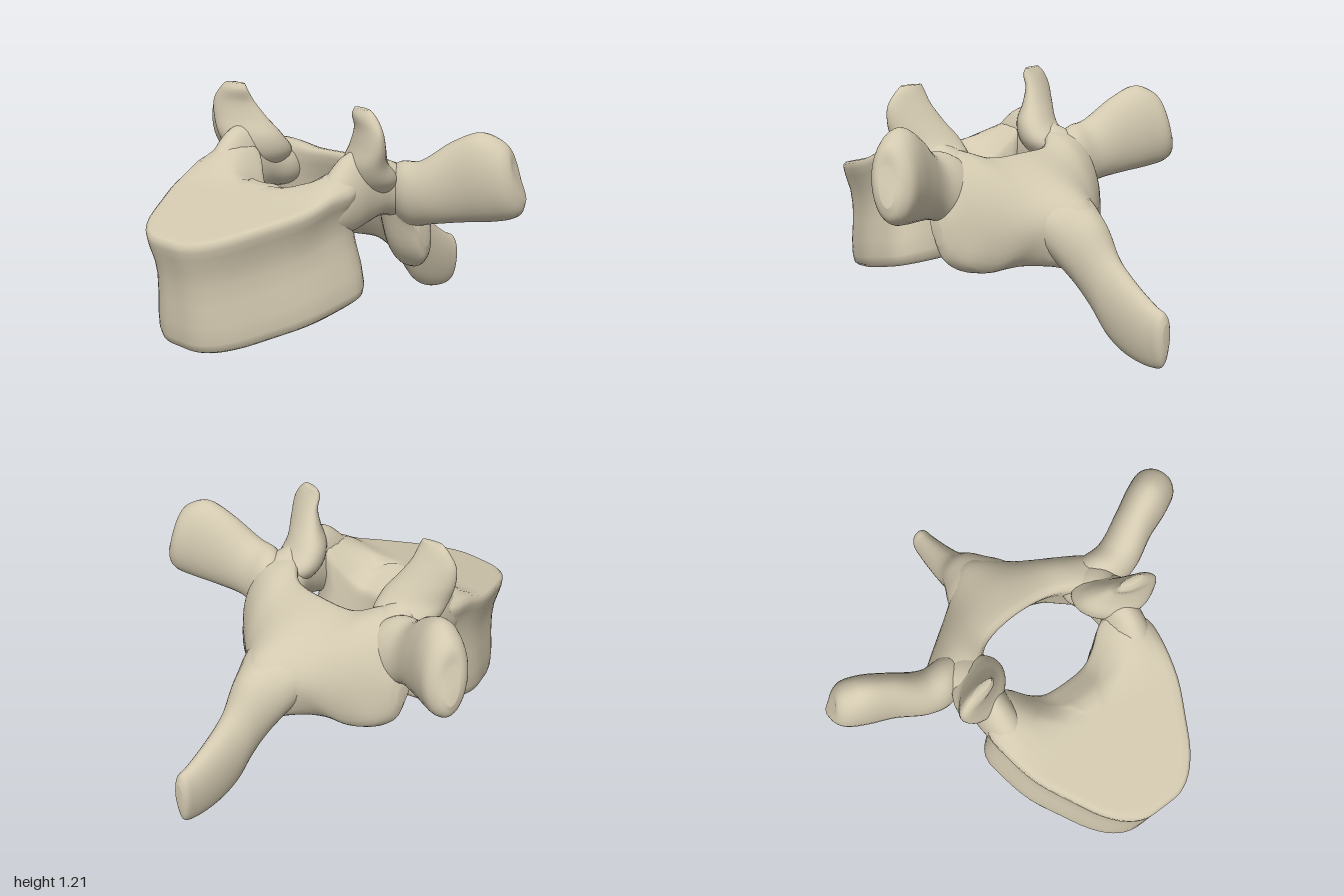
import * as THREE from 'three';

const bone = new THREE.MeshStandardMaterial({ color: 0xd3c9b0 });
bone.name = 'bone';

const V = (x, y, z) => new THREE.Vector3(x, y, z);

// Closed skin over rings of equal length; the end rings are capped and faces turned outward.
function skin(rings) {
  const n = rings[0].length;
  const pts = rings.flat();
  const idx = [];
  for (let i = 0; i < rings.length - 1; i++) {
    for (let j = 0; j < n; j++) {
      const a = i * n + j, b = i * n + (j + 1) % n;
      idx.push(a, b, b + n, a, b + n, a + n);
    }
  }
  [0, rings.length - 1].forEach((r) => {
    const mid = rings[r].reduce((s, p) => s.add(p), V(0, 0, 0)).divideScalar(n);
    pts.push(mid);
    for (let j = 0; j < n; j++) {
      const a = r * n + j, b = r * n + (j + 1) % n;
      idx.push(pts.length - 1, ...(r ? [a, b] : [b, a]));
    }
  });
  let volume = 0;
  for (let k = 0; k < idx.length; k += 3) {
    volume += pts[idx[k]].dot(V(0, 0, 0).crossVectors(pts[idx[k + 1]], pts[idx[k + 2]]));
  }
  if (volume < 0) idx.reverse();
  const g = new THREE.BufferGeometry().setFromPoints(pts);
  g.setIndex(idx);
  g.computeVertexNormals();
  return g;
}

// Smooth loft: splines around each section, then splines from section to section.
function loft(sections, around = 32, steps = 5) {
  const rings = sections.map((s) => new THREE.CatmullRomCurve3(s, true).getPoints(around).slice(0, around));
  const count = (rings.length - 1) * steps;
  const columns = rings[0].map((_, j) =>
    new THREE.CatmullRomCurve3(rings.map((r) => r[j])).getPoints(count));
  return skin(Array.from({ length: count + 1 }, (_, i) => columns.map((c) => c[i])));
}

// Oval section: centre c, half axes u and v; taper narrows it towards -u.
function oval(c, u, v, taper = 0) {
  return Array.from({ length: 12 }, (_, i) => {
    const a = i / 12 * Math.PI * 2;
    return V(...c).addScaledVector(V(...u), Math.cos(a))
      .addScaledVector(V(...v), Math.sin(a) * (1 + taper * Math.cos(a)));
  });
}

// Heart-shaped body with a tilted top that falls away into the canal
function bodyGeometry() {
  const half = [[0.1, 1.005], [0.18, 0.965], [0.26, 0.88], [0.34, 0.74], [0.42, 0.58], [0.46, 0.42],
    [0.47, 0.28], [0.4, 0.2], [0.28, 0.16], [0.2, 0.21], [0.11, 0.25]];
  const loop = [[0, 1.01], ...half, [0, 0.26], ...half.map(([x, z]) => [-x, z]).reverse()];
  const outline = new THREE.CatmullRomCurve3(loop.map(([x, z]) => V(x, 0, z)), true).getPoints(72).slice(0, 72);
  const { lerp, smoothstep } = THREE.MathUtils;
  const top = (x, z) => {
    const ax = Math.abs(x);
    const lip = 0.1 * smoothstep(ax, 0.1, 0.38) * (1 - smoothstep(z, 0.22, 0.55)) * (1 - 0.8 * smoothstep(ax, 0.38, 0.48));
    const fall = 0.75 * Math.max(0, 0.41 - z) * (1 - smoothstep(ax, 0.1, 0.32));
    return Math.min(0.69 + 0.26 * (1 - z), 0.845) + lip - fall;
  };
  const bottom = (z) => 0.165 + 0.26 * (0.91 - z);
  // [height 0..1, scale] from the underside centre to the top centre
  const steps = [[0, 0.05], [0, 0.5], [0, 0.94], [0.03, 0.985], [0.1, 1], [0.25, 0.98], [0.42, 0.93], [0.58, 0.9],
    [0.73, 0.91], [0.86, 0.96], [0.93, 0.985], [0.98, 0.985], [1, 0.95], [1, 0.87], [1, 0.75], [1, 0.6], [1, 0.45], [1, 0.3], [1, 0.15], [1, 0.03]];
  return skin(steps.map(([t, s]) => outline.map((p) => {
    const x = p.x * s;
    const zs = 0.55 + (p.z - 0.55) * (s > 0.85 && t > 0.1 && t < 0.9 ? (s + 1) / 2 : s);
    const z = zs * (0.95 + 0.05 * t) - 0.03 * (1 - t);
    return V(x, lerp(bottom(z), top(x, z), t), z);
  })));
}

// Arch roof across the back, ending in the lower joint lobes: sections of [z, y]
function archGeometry() {
  const halves = [
    [0.2, [[-0.085, 0.87], [-0.14, 0.68], [-0.22, 0.46], [-0.3, 0.39], [-0.38, 0.46], [-0.42, 0.6], [-0.33, 0.75], [-0.2, 0.85]]],
    [0.34, [[0.02, 0.91], [-0.04, 0.65], [-0.11, 0.46], [-0.2, 0.375], [-0.28, 0.4], [-0.32, 0.58], [-0.26, 0.76], [-0.13, 0.89]]],
    [0.45, [[0.02, 0.87], [-0.03, 0.66], [-0.08, 0.48], [-0.16, 0.395], [-0.23, 0.43], [-0.24, 0.58], [-0.2, 0.74], [-0.1, 0.87]]],
    [0.52, [[-0.03, 0.71], [-0.05, 0.61], [-0.08, 0.51], [-0.13, 0.45], [-0.17, 0.48], [-0.18, 0.57], [-0.16, 0.67], [-0.1, 0.74]]],
    [0.545, [[-0.07, 0.62], [-0.075, 0.58], [-0.1, 0.54], [-0.115, 0.53], [-0.135, 0.54], [-0.14, 0.57], [-0.13, 0.61], [-0.1, 0.63]]],
  ];
  const middle = [0, [[-0.115, 0.87], [-0.17, 0.7], [-0.28, 0.46], [-0.4, 0.385], [-0.51, 0.38], [-0.56, 0.63], [-0.39, 0.765], [-0.22, 0.85]]];
  const all = [...halves.map(([x, s]) => [-x, s]).reverse(), middle, ...halves];
  return loft(all.map(([x, s]) => s.map(([z, y]) => V(x, y, z))), 32, 6);
}

// Rear spine blade: [z, low y, high y, half width]
function spineGeometry() {
  const rows = [[-0.3, 0.5, 0.72, 0.2], [-0.4, 0.4, 0.73, 0.19], [-0.47, 0.34, 0.705, 0.165], [-0.53, 0.28, 0.67, 0.135], [-0.6, 0.195, 0.615, 0.105],
    [-0.69, 0.08, 0.48, 0.08], [-0.8, 0.02, 0.38, 0.066], [-0.93, 0, 0.29, 0.052], [-0.98, 0.015, 0.265, 0.045], [-1, 0.08, 0.22, 0.025]];
  return loft(rows.map(([z, lo, hi, w]) =>
    oval([0, (lo + hi) / 2, z], [0, (hi - lo) / 2, 0], [w, 0, 0], 0.2)));
}

// Paired parts, written for the +x side
const paired = {
  // Neck joining body and arch: x, y, z, half width, half height
  Pedicle: (m) => [[0.36, 0.76, 0.44, 0.03, 0.04], [0.37, 0.79, 0.34, 0.075, 0.13], [0.375, 0.82, 0.24, 0.09, 0.18],
    [0.375, 0.835, 0.14, 0.095, 0.175], [0.375, 0.82, 0.05, 0.105, 0.14], [0.375, 0.79, -0.05, 0.135, 0.13], [0.37, 0.74, -0.16, 0.1, 0.1]]
    .map(([x, y, z, w, h]) => oval([m * x, y, z], [0, h, 0], [m * w, 0, 0])),
  // Side wing with a swollen tip: x, y, z, half height, half thickness
  TransverseProcess: (m) => [[0.33, 0.74, -0.1, 0.1, 0.08], [0.46, 0.775, -0.07, 0.155, 0.115], [0.57, 0.8, -0.075, 0.15, 0.105],
    [0.71, 0.865, -0.135, 0.19, 0.1], [0.83, 0.9, -0.185, 0.208, 0.108], [0.915, 0.895, -0.225, 0.18, 0.1], [0.952, 0.89, -0.24, 0.145, 0.07], [0.968, 0.885, -0.245, 0.08, 0.035]]
    .map(([x, y, z, h, d]) => oval([m * x, y, z], [m * -0.02, h, 0.025], [m * 0.36 * d, 0, 0.93 * d])),
  // Upright joint plate: x, y, z, half width, half depth, slant
  SuperiorArticularProcess: (m) => [[0.37, 0.76, 0.03, 0.05, 0.05, 0.6], [0.37, 0.86, 0.07, 0.13, 0.11, 0.6], [0.38, 0.95, 0.125, 0.14, 0.09, 0.55],
    [0.42, 1.04, 0.155, 0.125, 0.06, 0.45], [0.44, 1.12, 0.175, 0.103, 0.04, 0.35], [0.425, 1.18, 0.187, 0.078, 0.03, 0.2], [0.415, 1.21, 0.187, 0.055, 0.015, 0.2]]
    .map(([x, y, z, w, d, k]) => oval([m * x, y, z], [m * w, 0, w * k], [m * -0.4 * d, 0, d])),
};

export function createModel() {
  const model = new THREE.Group();
  model.name = 'vertebra';
  const add = (name, geometry) => {
    const mesh = new THREE.Mesh(geometry, bone);
    mesh.name = name;
    model.add(mesh);
  };
  add('vertebralBody', bodyGeometry());
  add('arch', archGeometry());
  add('spinousProcess', spineGeometry());
  for (const [name, sections] of Object.entries(paired)) {
    add('left' + name, loft(sections(1)));
    add('right' + name, loft(sections(-1)));
  }
  return model;
}
